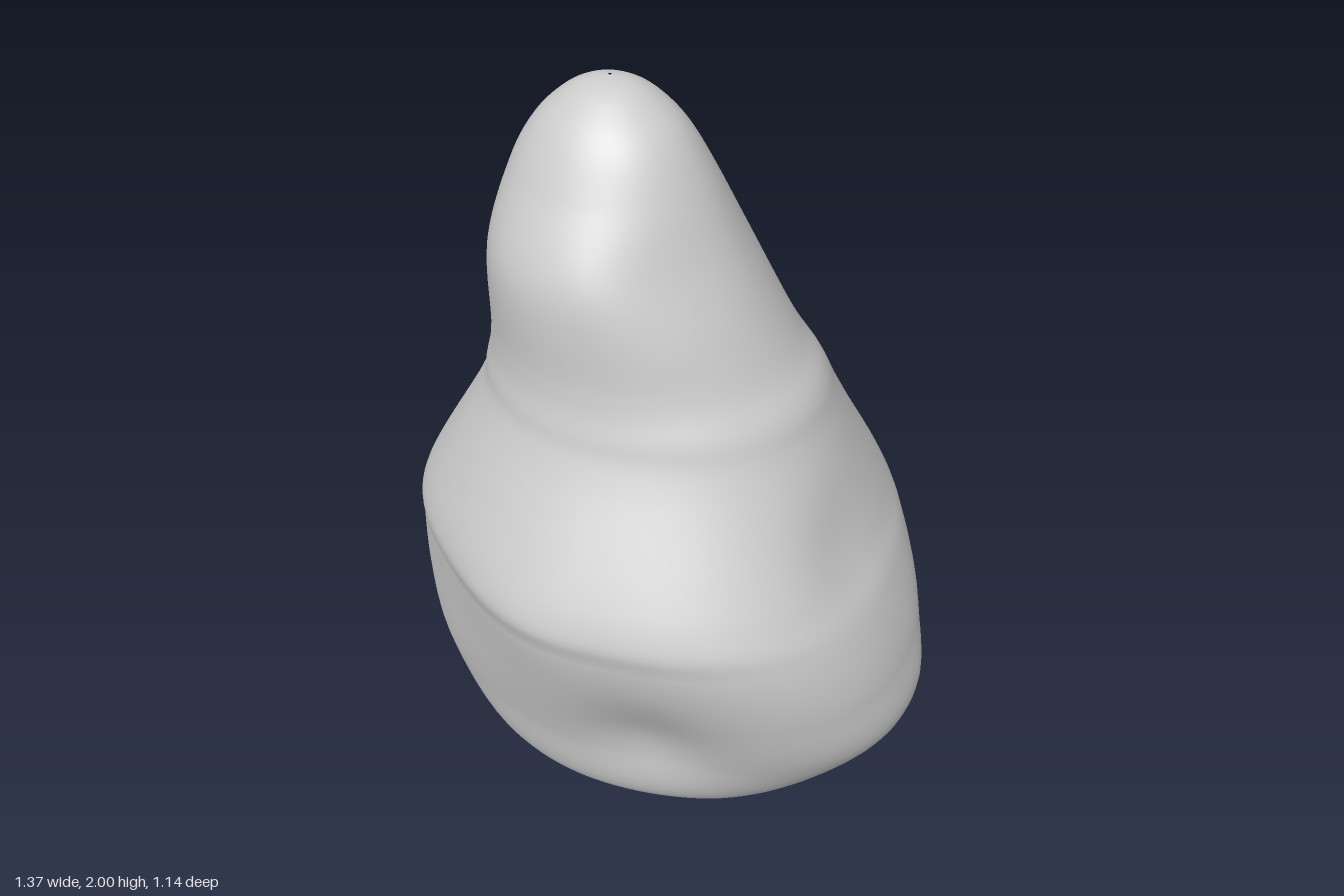
import * as THREE from 'three';
import { ParametricGeometry } from 'three/addons/geometries/ParametricGeometry.js';

// Cross-sections from the base up: height, then the reach to +x, +z, -x and -z
const sections = [
  [0.00, -0.016, 0.004, -0.024, -0.004],
  [0.02, 0.13, 0.05, -0.15, -0.05],
  [0.10, 0.33, 0.25, -0.38, -0.20],
  [0.20, 0.49, 0.40, -0.52, -0.32],
  [0.40, 0.675, 0.46, -0.65, -0.45],
  [0.60, 0.66, 0.52, -0.68, -0.52],
  [0.80, 0.59, 0.565, -0.67, -0.55],
  [0.92, 0.53, 0.56, -0.65, -0.56],
  [1.20, 0.41, 0.40, -0.49, -0.42],
  [1.30, 0.37, 0.36, -0.455, -0.37],
  [1.40, 0.30, 0.335, -0.435, -0.34],
  [1.62, 0.185, 0.315, -0.42, -0.285],
  [1.80, 0.10, 0.22, -0.365, -0.19],
  [1.90, 0.04, 0.16, -0.31, -0.135],
  [1.96, -0.025, 0.10, -0.25, -0.09],
  [1.99, -0.08, 0.05, -0.195, -0.045],
  [2.00, -0.135, 0.004, -0.143, -0.004],
];

// Shoulders swell or flatten one corner; the turn runs from +x towards +z in eighths
const shoulders = [
  { turn: 1, height: 0.75, spread: 0.4, amount: 0.08 },
  { turn: 1, height: 1.65, spread: 0.12, amount: -0.06 },
  { turn: 3, height: 0.8, spread: 0.35, amount: -0.08 },
  { turn: 5, height: 1.2, spread: 0.25, amount: 0.1 },
  { turn: 5, height: 1.65, spread: 0.15, amount: 0.07 },
  { turn: 5, height: 0.4, spread: 0.25, amount: 0.04 },
  { turn: 7, height: 0.85, spread: 0.3, amount: 0.08 },
  { turn: 7, height: 0.25, spread: 0.2, amount: -0.18 },
];

// Shallow hollows pressed into the sides
const hollows = [
  { at: new THREE.Vector3(0.12, 0.47, 0.49), radius: 0.17, depth: 0.045 },
  { at: new THREE.Vector3(0.36, 0.42, -0.34), radius: 0.16, depth: 0.03 },
  { at: new THREE.Vector3(0.47, 0.95, 0.15), radius: 0.14, depth: 0.02 },
];

// Catmull-Rom blend of four values
function blend(a, b, c, d, t) {
  return b + 0.5 * t * (c - a + t * (2 * a - 5 * b + 4 * c - d + t * (3 * (b - c) + d - a)));
}

function sectionAt(v) {
  const last = sections.length - 1;
  const p = v * last;
  const i = Math.min(Math.floor(p), last - 1);
  const row = (k) => sections[THREE.MathUtils.clamp(k, 0, last)];
  return sections[0].map((_, c) => blend(row(i - 1)[c], row(i)[c], row(i + 1)[c], row(i + 2)[c], p - i));
}

function rockPoint(u, v, target) {
  const [y, right, front, left, back] = sectionAt(v);
  const angle = -u * Math.PI * 2;

  // Fullness of the ring in this direction; 1 is a plain ellipse
  let full = 1;
  for (const { turn, height, spread, amount } of shoulders) {
    const offset = angle - turn * Math.PI / 4;
    const facing = Math.cos(offset) > Math.SQRT1_2 ? Math.cos(2 * offset) ** 2 : 0;
    full += amount * facing * Math.exp(-(((y - height) / spread) ** 2));
  }

  target.set(
    (right + left) / 2 + (right - left) / 2 * Math.cos(angle) * full,
    y,
    (front + back) / 2 + (front - back) / 2 * Math.sin(angle) * full
  );

  // Press the hollows in towards the vertical axis
  for (const { at, radius, depth } of hollows) {
    const push = depth * Math.exp(-target.distanceToSquared(at) / (radius * radius));
    target.x -= push * at.x / Math.hypot(at.x, at.z);
    target.z -= push * at.z / Math.hypot(at.x, at.z);
  }
}

export function createModel() {
  const group = new THREE.Group();
  group.name = 'boulder';
  const rock = new THREE.Mesh(
    new ParametricGeometry(rockPoint, 96, 112),
    new THREE.MeshStandardMaterial({ color: 0xcccccc })
  );
  rock.name = 'rock';
  group.add(rock);
  return group;
}
